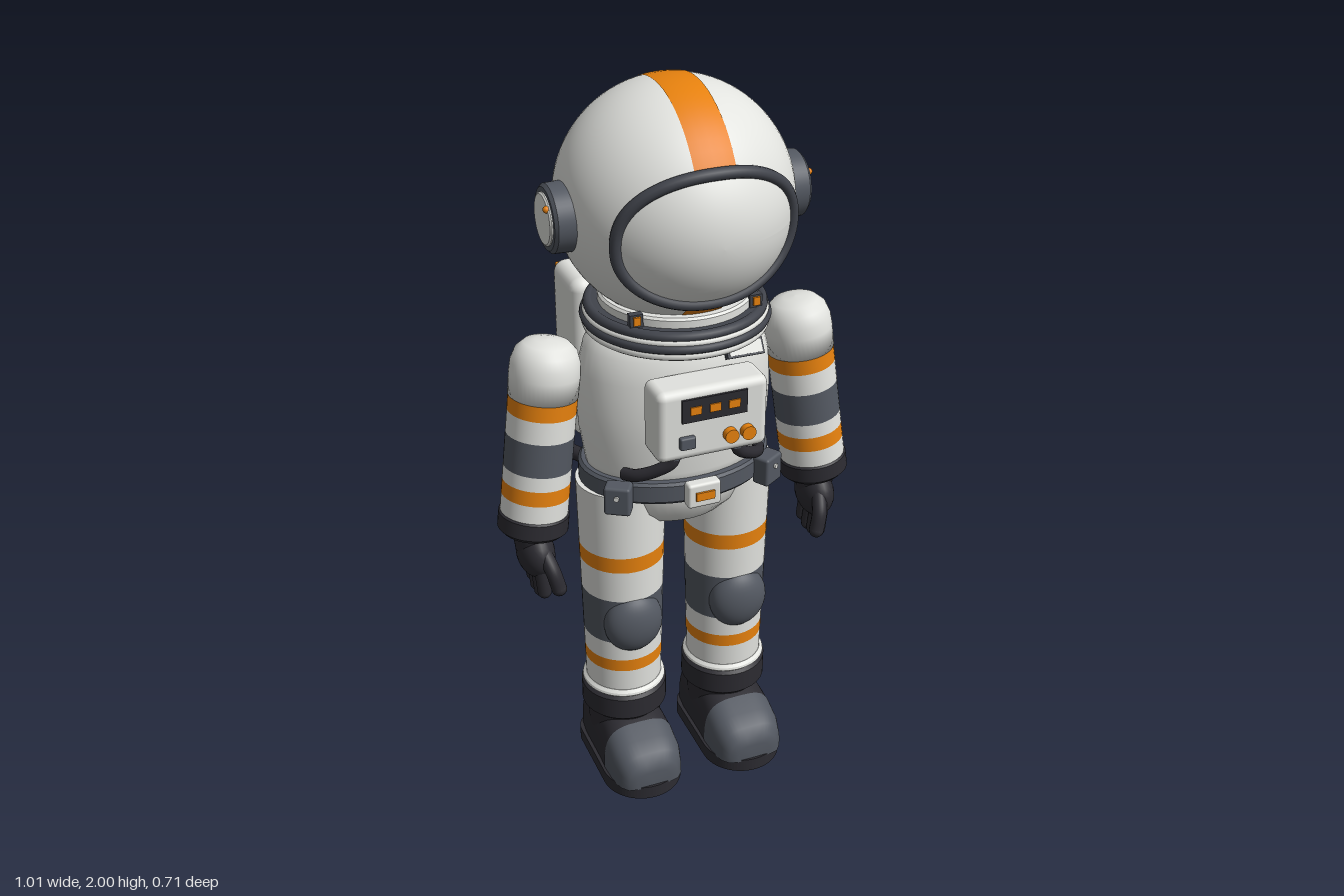
import * as THREE from 'three';
import { RoundedBoxGeometry } from 'three/addons/geometries/RoundedBoxGeometry.js';

const material = (name, color, side = THREE.FrontSide) => {
  const m = new THREE.MeshStandardMaterial({ color, side });
  m.name = name;
  return m;
};
const white = material('suit white', 0xe2e3df);
const orange = material('orange', 0xe8820e);
const slate = material('slate grey', 0x535861);
const rimGrey = material('rim grey', 0x41444c);
const black = material('charcoal', 0x2c2b31);
const CZ = 0.045; // depth of the body axis

function add(parent, name, geo, mat, x = 0, y = 0, z = 0) {
  const m = new THREE.Mesh(geo, mat);
  m.name = name;
  m.position.set(x, y, z);
  parent.add(m);
  return m;
}
const box = (w, h, d, r = 0) => r ? new RoundedBoxGeometry(w, h, d, 3, r) : new THREE.BoxGeometry(w, h, d);
const cyl = (r0, r1, h, n = 40) => new THREE.CylinderGeometry(r0, r1, h, n);
const lathe = (pts) => new THREE.LatheGeometry(pts.map(p => new THREE.Vector2(...p)), 48);
const tube = (pts, r, n = 24) =>
  new THREE.TubeGeometry(new THREE.CatmullRomCurve3(pts.map(p => new THREE.Vector3(...p))), n, r, 12);

// Round band with softened edges, between heights y0 and y1
function band(parent, name, mat, y0, y1, r0, r1, b = 0.003) {
  return add(parent, name, lathe([[0, y0], [r0 - b, y0], [r0 - b, y0], [r0, y0 + b], [r0, y0 + b],
    [r1, y1 - b], [r1, y1 - b], [r1 - b, y1], [r1 - b, y1], [0, y1]]), mat);
}

// Arched shell over sections [z, halfWidth, height], front to back
function archLoft(sections) {
  const nT = 24, g = new THREE.PlaneGeometry(1, 1, nT, sections.length - 1);
  const p = g.attributes.position;
  sections.forEach(([z, w, h], j) => {
    for (let i = 0; i <= nT; i++) {
      const t = Math.PI * i / nT, c = Math.cos(t);
      p.setXYZ(j * (nT + 1) + i, w * Math.sign(c) * Math.abs(c) ** 0.6, 0.035 + h * Math.abs(Math.sin(t)) ** 0.6, z);
    }
  });
  g.computeVertexNormals();
  return g;
}

function buildHelmet(g) {
  const R = 0.302, cy = 1.698, cz = 0.038;
  add(g, 'helmetShell', new THREE.SphereGeometry(R, 64, 48), white, 0, cy, cz);

  // Crest stripe: latitude band of a sphere lying on its side
  const half = Math.asin(0.052 / R);
  const crest = add(g, 'crestStripe', new THREE.SphereGeometry(R + 0.002, 64, 4, 0, Math.PI * 2,
    Math.PI / 2 - half, half * 2), orange, 0, cy, cz);
  crest.rotation.z = Math.PI / 2;

  // Visor outline lies on the shell; the glass bulges slightly
  const rimPoint = (t, u = 1) => {
    const c = Math.cos(t), s = Math.sin(t);
    const x = 0.228 * u * Math.sign(c) * Math.abs(c) ** 0.92;
    const y = -0.02 + 0.168 * u * Math.sign(s) * Math.abs(s) ** 0.92;
    return new THREE.Vector3(x, cy + y, cz + Math.sqrt(R * R - x * x - y * y) + 0.005 + 0.013 * (1 - u * u));
  };
  const glass = new THREE.RingGeometry(0, 1, 64, 12), p = glass.attributes.position;
  for (let i = 0; i < p.count; i++) {
    const v = rimPoint(Math.atan2(p.getY(i), p.getX(i)), Math.hypot(p.getX(i), p.getY(i)));
    p.setXYZ(i, v.x, v.y, v.z);
  }
  glass.computeVertexNormals();
  add(g, 'visor', glass, white);
  const rim = new THREE.CatmullRomCurve3(Array.from({ length: 48 }, (_, i) => rimPoint(i / 48 * Math.PI * 2)), true);
  add(g, 'visorRim', new THREE.TubeGeometry(rim, 96, 0.016, 10, true), rimGrey);

  for (const s of [-1, 1]) {
    const ear = new THREE.Group();
    ear.name = 'earPiece';
    ear.position.set(s * 0.29, 1.69, 0.047);
    ear.rotation.z = -s * Math.PI / 2;
    g.add(ear);
    band(ear, 'earRing', slate, -0.02, 0.048, 0.088, 0.086, 0.008);
    band(ear, 'earDisc', white, 0, 0.055, 0.068, 0.066, 0.004);
    add(g, 'earLight', new THREE.SphereGeometry(0.009, 12, 8), orange, s * 0.346, 1.73, 0.088);
  }

  // Neck rings and latches
  const collar = new THREE.Group();
  collar.name = 'collar';
  collar.position.z = 0.05;
  g.add(collar);
  band(collar, 'neckRing', white, 1.35, 1.46, 0.2, 0.2, 0.006);
  for (const [name, y, r, t, m] of [['upperRing', 1.423, 0.223, 0.014, rimGrey], ['middleRing', 1.408, 0.23, 0.01, white],
    ['lowerRing', 1.394, 0.234, 0.013, rimGrey], ['baseRing', 1.375, 0.23, 0.012, white]]) {
    add(collar, name, new THREE.TorusGeometry(r, t, 10, 64), m, 0, y).rotation.x = Math.PI / 2;
    band(collar, name + 'Core', m, y - t * 0.8, y + t * 0.8, r, r);
  }
  for (const sx of [-1, 1]) for (const sz of [-1, 1]) {
    add(collar, 'latch', box(0.034, 0.036, 0.02), rimGrey, sx * 0.16, 1.45, sz * 0.135);
    add(collar, 'latchTab', box(0.018, 0.022, 0.008), orange, sx * 0.16, 1.452, sz * 0.147);
  }
}

function buildTorso(g) {
  const torso = add(g, 'torso', lathe([[0, 0.93], [0.235, 0.94], [0.247, 1.0], [0.261, 1.09], [0.265, 1.17],
    [0.259, 1.26], [0.243, 1.325], [0.21, 1.365], [0.15, 1.38], [0, 1.385]]), white, 0, 0, CZ - 0.005);
  torso.scale.z = 0.7;
  const pelvis = add(g, 'pelvis', lathe([[0, 0.79], [0.08, 0.796], [0.145, 0.82], [0.188, 0.86], [0.208, 0.91],
    [0.212, 0.95], [0, 0.955]]), white, 0, 0, CZ - 0.005);
  pelvis.scale.z = 0.81;
  band(g, 'belt', slate, 0.922, 0.984, 0.264, 0.264, 0.008).scale.z = 0.735;
  g.children[g.children.length - 1].position.z = CZ - 0.005;
  add(g, 'buckle', box(0.092, 0.07, 0.035, 0.008), white, 0, 0.953, 0.243);
  add(g, 'bucklePlate', box(0.052, 0.024, 0.008), orange, 0, 0.953, 0.262);

  // Chest control box
  add(g, 'chestBox', box(0.3, 0.198, 0.11, 0.022), white, 0, 1.198, 0.255);
  add(g, 'display', box(0.176, 0.064, 0.009), black, 0, 1.243, 0.312);
  for (const x of [-0.052, 0, 0.052]) add(g, 'displayLight', box(0.03, 0.022, 0.006), orange, x, 1.243, 0.317);
  add(g, 'switch', box(0.042, 0.034, 0.018, 0.005), slate, -0.074, 1.155, 0.316);
  for (const x of [0.043, 0.09]) add(g, 'button', cyl(0.019, 0.019, 0.024, 24), orange, x, 1.155, 0.317).rotation.x = Math.PI / 2;

  // Blank chest plate
  const plate = new THREE.Group();
  plate.name = 'chestPlate';
  plate.position.set(0.127, 1.328, 0.2);
  plate.rotation.set(-0.55, 0.2, 0);
  g.add(plate);
  add(plate, 'plateFrame', box(0.112, 0.044, 0.014), rimGrey);
  add(plate, 'plateFace', box(0.1, 0.033, 0.006), white, 0, 0, 0.006);

  for (const s of [-1, 1]) {
    add(g, 'chestHose', tube([[s * 0.085, 1.12, 0.25], [s * 0.09, 1.075, 0.258], [s * 0.125, 1.045, 0.24],
      [s * 0.17, 1.02, 0.205], [s * 0.19, 1.01, 0.17]], 0.017), black);
    add(g, 'hoseCollar', cyl(0.023, 0.023, 0.025, 20), slate, s * 0.085, 1.095, 0.252);
    const pouch = add(g, 'beltPouch', box(0.07, 0.082, 0.05, 0.008), slate, s * 0.212, 0.95, 0.185);
    pouch.rotation.y = s * 0.55;
    add(pouch, 'pouchStud', cyl(0.007, 0.007, 0.008, 12), white, 0, 0.012, 0.026).rotation.x = Math.PI / 2;
  }
}

function buildBackpack(g) {
  add(g, 'packBody', box(0.42, 0.475, 0.185, 0.035), white, 0, 1.18, -0.241);
  add(g, 'packTopBar', box(0.385, 0.055, 0.02, 0.006), orange, 0, 1.367, -0.343);
  add(g, 'panelFrame', box(0.3, 0.15, 0.009), rimGrey, 0, 1.262, -0.335);
  add(g, 'panelFace', box(0.28, 0.13, 0.008), white, 0, 1.262, -0.338);
  add(g, 'packTab', box(0.07, 0.022, 0.02, 0.004), orange, 0.15, 1.165, -0.337);
  add(g, 'vent', box(0.25, 0.11, 0.009), black, 0, 1.065, -0.336);
  for (let i = 0; i < 5; i++) add(g, 'ventSlat', box(0.22, 0.008, 0.012), slate, 0, 1.025 + i * 0.02, -0.338);
  for (const s of [-1, 1]) {
    for (const y of [1.12, 1.27]) add(g, 'packMount', box(0.05, 0.035, 0.1, 0.008), white, s * 0.15, y, -0.13);
    add(g, 'hosePort', cyl(0.024, 0.024, 0.05, 20), white, s * 0.22, 0.985, -0.217).rotation.z = Math.PI / 2;
    add(g, 'packHose', tube([[s * 0.225, 0.985, -0.217], [s * 0.25, 0.98, -0.21], [s * 0.262, 0.965, -0.165],
      [s * 0.252, 0.953, -0.1], [s * 0.225, 0.95, -0.05]], 0.02), black);
  }
}

function buildArm(g, s) {
  const arm = new THREE.Group();
  arm.name = 'arm';
  arm.position.set(s * 0.355, 1.28, 0.048);
  arm.rotation.set(-0.05, 0, s * 0.13);
  g.add(arm);
  add(arm, 'shoulder', lathe([[0, -0.06], [0.091, -0.06], [0.092, 0], [0.09, 0.03], [0.08, 0.06], [0.06, 0.08],
    [0.03, 0.088], [0, 0.09]]), white);
  for (const [name, m, y0, y1] of [['armStripe', orange, -0.103, -0.058], ['sleeve', white, -0.165, -0.103],
    ['elbowBand', slate, -0.258, -0.165], ['sleeve', white, -0.298, -0.258], ['armStripe', orange, -0.34, -0.298],
    ['sleeve', white, -0.39, -0.34]])
    add(arm, name, cyl(0.09, 0.09, y1 - y0), m, 0, (y0 + y1) / 2);
  band(arm, 'gloveCuff', black, -0.45, -0.383, 0.094, 0.094, 0.012);

  // Gloved hand, palm facing inward
  const hand = new THREE.Group();
  hand.name = 'hand';
  g.add(hand);
  add(hand, 'wrist', cyl(0.058, 0.05, 0.07, 24), black, s * 0.413, 0.82, 0.075);
  add(hand, 'palm', new THREE.SphereGeometry(1, 24, 16), black, s * 0.412, 0.772, 0.082).scale.set(0.05, 0.07, 0.076);
  [0.03, 0.064, 0.098, 0.13].forEach((z, i) => {
    const f = add(hand, 'finger', new THREE.CapsuleGeometry(0.019, 0.08, 6, 12), black, s * 0.41, [0.705, 0.694, 0.697, 0.71][i], z);
    f.rotation.z = -s * 0.1;
  });
  add(hand, 'thumb', tube([[s * 0.405, 0.8, 0.12], [s * 0.39, 0.75, 0.162], [s * 0.378, 0.7, 0.172]], 0.021), black);
  add(hand, 'thumbTip', new THREE.SphereGeometry(0.021, 12, 10), black, s * 0.378, 0.7, 0.172);
}

function buildLeg(g, s) {
  const leg = new THREE.Group();
  leg.name = 'leg';
  leg.position.set(s * 0.155, 0, CZ);
  g.add(leg);
  const radius = y => 0.107 + 0.012 * (y - 0.27) / 0.53;
  for (const [name, m, y0, y1] of [['trouser', white, 0.735, 0.93], ['legStripe', orange, 0.688, 0.735],
    ['trouser', white, 0.592, 0.688], ['kneeBand', slate, 0.45, 0.592], ['trouser', white, 0.39, 0.45],
    ['legStripe', orange, 0.352, 0.39], ['trouser', white, 0.26, 0.352]])
    add(leg, name, cyl(radius(y1), radius(y0), y1 - y0), m, 0, (y0 + y1) / 2);
  add(leg, 'kneePad', new THREE.SphereGeometry(1, 32, 20), slate, s * 0.002, 0.51, 0.09).scale.set(0.084, 0.093, 0.056);
  band(leg, 'ankleRing', white, 0.262, 0.285, 0.118, 0.116, 0.008);
  band(leg, 'bootCuff', black, 0.18, 0.268, 0.121, 0.121, 0.012);
  add(leg, 'ankle', cyl(0.108, 0.1, 0.12), black, 0, 0.14);

  // Boot: slate toe cap, dark shell, heel tab and flat sole
  const boot = new THREE.Group();
  boot.name = 'boot';
  boot.position.x = s * 0.155;
  g.add(boot);
  add(boot, 'toeCap', archLoft([[0.287, 0.001, 0.001], [0.286, 0.05, 0.05], [0.28, 0.075, 0.075], [0.26, 0.092, 0.098],
    [0.22, 0.104, 0.118], [0.165, 0.107, 0.138]]), slate);
  add(boot, 'bootShell', archLoft([[0.165, 0.106, 0.137], [0.12, 0.104, 0.15], [0, 0.104, 0.15], [-0.05, 0.098, 0.145],
    [-0.078, 0.08, 0.135], [-0.088, 0.05, 0.12], [-0.09, 0.001, 0.001]]), black);
  add(boot, 'heelTab', box(0.1, 0.075, 0.06, 0.012), black, 0, 0.135, -0.08);
  const outline = new THREE.Shape();
  outline.absarc(0, -0.18, 0.114, Math.PI, Math.PI * 2);
  outline.absarc(0.044, 0.015, 0.07, 0, Math.PI / 2);
  outline.absarc(-0.044, 0.015, 0.07, Math.PI / 2, Math.PI);
  const sole = new THREE.ExtrudeGeometry(outline, { depth: 0.04, bevelEnabled: false, curveSegments: 20 });
  add(boot, 'sole', sole, black).rotation.x = -Math.PI / 2;
}

export function createModel() {
  const model = new THREE.Group();
  model.name = 'astronaut';
  const part = (name, build, ...args) => {
    const g = new THREE.Group();
    g.name = name;
    model.add(g);
    build(g, ...args);
  };
  part('helmet', buildHelmet);
  part('body', buildTorso);
  part('backpack', buildBackpack);
  for (const [side, s] of [['left', 1], ['right', -1]]) {
    part(side + 'Arm', buildArm, s);
    part(side + 'Leg', buildLeg, s);
  }
  return model;
}
